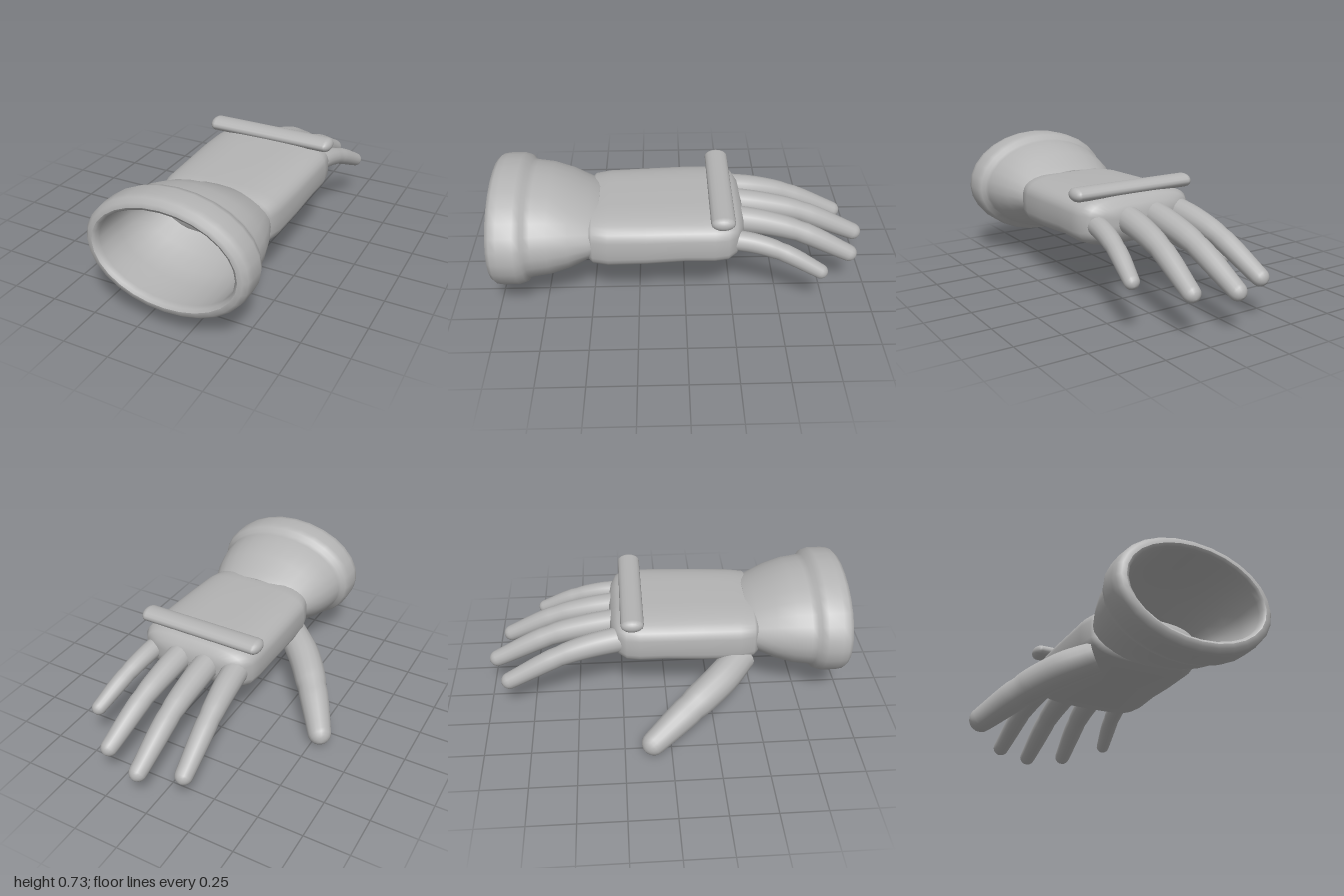
import * as THREE from 'three';

const grey = new THREE.MeshStandardMaterial({ color: 0xb4b4b4 });
grey.name = 'glove grey';

// Skin a list of equal-length rings of Vector3 into one smooth surface
function loft(rings) {
  const n = rings[0].length, idx = [];
  for (let r = 0; r < rings.length - 1; r++) {
    for (let i = 0; i < n; i++) {
      const j = (i + 1) % n;
      const a = r * n + i, b = r * n + j, c = a + n, d = b + n;
      idx.push(a, c, b, b, c, d);
    }
  }
  const geo = new THREE.BufferGeometry().setFromPoints(rings.flat());
  geo.setIndex(idx);
  geo.computeVertexNormals();
  return geo;
}

// Superellipse ring facing z; power 2 is a plain ellipse
function ring(z, cx, cy, hw, hh, power, n) {
  const bend = (v) => Math.sign(v) * Math.abs(v) ** (2 / power);
  return Array.from({ length: n }, (_, i) => {
    const a = (i / n) * Math.PI * 2;
    return new THREE.Vector3(cx + hw * bend(Math.cos(a)), cy + hh * bend(Math.sin(a)), z);
  });
}

// Tapered digit along a curve, with a round tip and a slight pinch at the joint
function digit(points, radii, joint) {
  const curve = new THREE.CatmullRomCurve3(points.map((p) => new THREE.Vector3(...p)));
  const steps = 18, sides = 16, rings = [];
  const addRing = (centre, t, r) => {
    const back = t.clone().negate();
    const u = new THREE.Vector3(0, 1, 0).cross(back).normalize();
    const v = back.clone().cross(u);
    rings.push(Array.from({ length: sides }, (_, i) => {
      const a = (i / sides) * Math.PI * 2;
      return centre.clone().addScaledVector(u, r * Math.cos(a)).addScaledVector(v, r * Math.sin(a));
    }));
  };
  for (let k = 0; k <= steps; k++) {
    const s = k / steps, f = s * (radii.length - 1);
    const i = Math.min(Math.floor(f), radii.length - 2);
    let r = THREE.MathUtils.lerp(radii[i], radii[i + 1], f - i);
    if (k === Math.round(joint * steps)) r *= 0.95;
    addRing(curve.getPointAt(s), curve.getTangentAt(s), r);
  }
  const end = curve.getPointAt(1), dir = curve.getTangentAt(1), tip = radii[radii.length - 1];
  for (let k = 1; k <= 5; k++) {
    const a = (k / 5) * Math.PI / 2;
    addRing(end.clone().addScaledVector(dir, tip * Math.sin(a)), dir, Math.max(tip * Math.cos(a), 0.0005));
  }
  return loft(rings);
}

export function createModel() {
  const glove = new THREE.Group();
  glove.name = 'glove';
  const add = (name, geo) => {
    const mesh = new THREE.Mesh(geo, grey);
    mesh.name = name;
    glove.add(mesh);
    return mesh;
  };

  // Hollow flared cuff: z, half width, half height, outside then back along the inside
  const cuff = [
    [1.0, 0.385, 0.26], [0.997, 0.41, 0.283], [0.975, 0.43, 0.302], [0.94, 0.435, 0.307],
    [0.86, 0.435, 0.307], [0.825, 0.422, 0.296], [0.81, 0.4, 0.272], [0.78, 0.395, 0.266],
    [0.7, 0.382, 0.256], [0.6, 0.355, 0.219], [0.5, 0.315, 0.162], [0.45, 0.29, 0.138],
    [0.45, 0.28, 0.128], [0.5, 0.3, 0.15], [0.6, 0.335, 0.2], [0.7, 0.362, 0.236],
    [0.8, 0.372, 0.248], [0.96, 0.368, 0.243], [0.99, 0.37, 0.245], [1.0, 0.385, 0.26],
  ];
  add('cuff', loft(cuff.map(([z, w, h]) => ring(z, 0.155, 0.43, w, h, 2, 28))));

  // Closed, flattened palm: z, centre x, centre y, half width, half height
  const palm = [
    [0.51, 0.15, 0.42, 0.001, 0.001], [0.51, 0.15, 0.42, 0.2, 0.08], [0.505, 0.15, 0.42, 0.29, 0.125],
    [0.48, 0.15, 0.42, 0.315, 0.14], [0.4, 0.148, 0.419, 0.333, 0.147], [0.2, 0.15, 0.427, 0.34, 0.144],
    [0, 0.15, 0.438, 0.345, 0.136], [-0.15, 0.152, 0.438, 0.345, 0.138], [-0.22, 0.152, 0.44, 0.336, 0.134],
    [-0.265, 0.152, 0.445, 0.305, 0.115], [-0.295, 0.152, 0.447, 0.24, 0.08],
    [-0.308, 0.152, 0.447, 0.15, 0.04], [-0.31, 0.152, 0.447, 0.001, 0.001],
  ];
  add('palm', loft(palm.map(([z, x, y, w, h]) => ring(z, x, y, w, h, 3.4, 40))));

  // Padded bar across the knuckles
  const bar = add('knuckleBar', new THREE.CapsuleGeometry(0.037, 0.656, 6, 16).rotateZ(Math.PI / 2));
  bar.scale.z = 1.68;
  bar.position.set(0.15, 0.589, -0.187);

  // Fingers curling gently downward
  add('indexFinger', digit(
    [[-0.09, 0.45, -0.2], [-0.11, 0.42, -0.4], [-0.128, 0.37, -0.58], [-0.153, 0.23, -0.87]],
    [0.072, 0.068, 0.06, 0.055, 0.047], 0.53));
  add('middleFinger', digit(
    [[0.065, 0.455, -0.22], [0.065, 0.425, -0.42], [0.065, 0.375, -0.63], [0.06, 0.225, -0.955]],
    [0.074, 0.07, 0.062, 0.057, 0.047], 0.53));
  add('ringFinger', digit(
    [[0.23, 0.455, -0.22], [0.24, 0.425, -0.42], [0.255, 0.375, -0.61], [0.28, 0.24, -0.89]],
    [0.074, 0.068, 0.06, 0.055, 0.046], 0.53));
  add('littleFinger', digit(
    [[0.4, 0.44, -0.2], [0.42, 0.42, -0.36], [0.445, 0.375, -0.51], [0.484, 0.28, -0.7]],
    [0.055, 0.053, 0.049, 0.046, 0.039], 0.55));

  // Thumb reaching out and down from the wrist
  add('thumb', digit(
    [[-0.1, 0.3, 0.42], [-0.25, 0.25, 0.285], [-0.39, 0.178, 0.11], [-0.533, 0.072, -0.095]],
    [0.085, 0.093, 0.09, 0.08, 0.066], 0.62));

  return glove;
}
